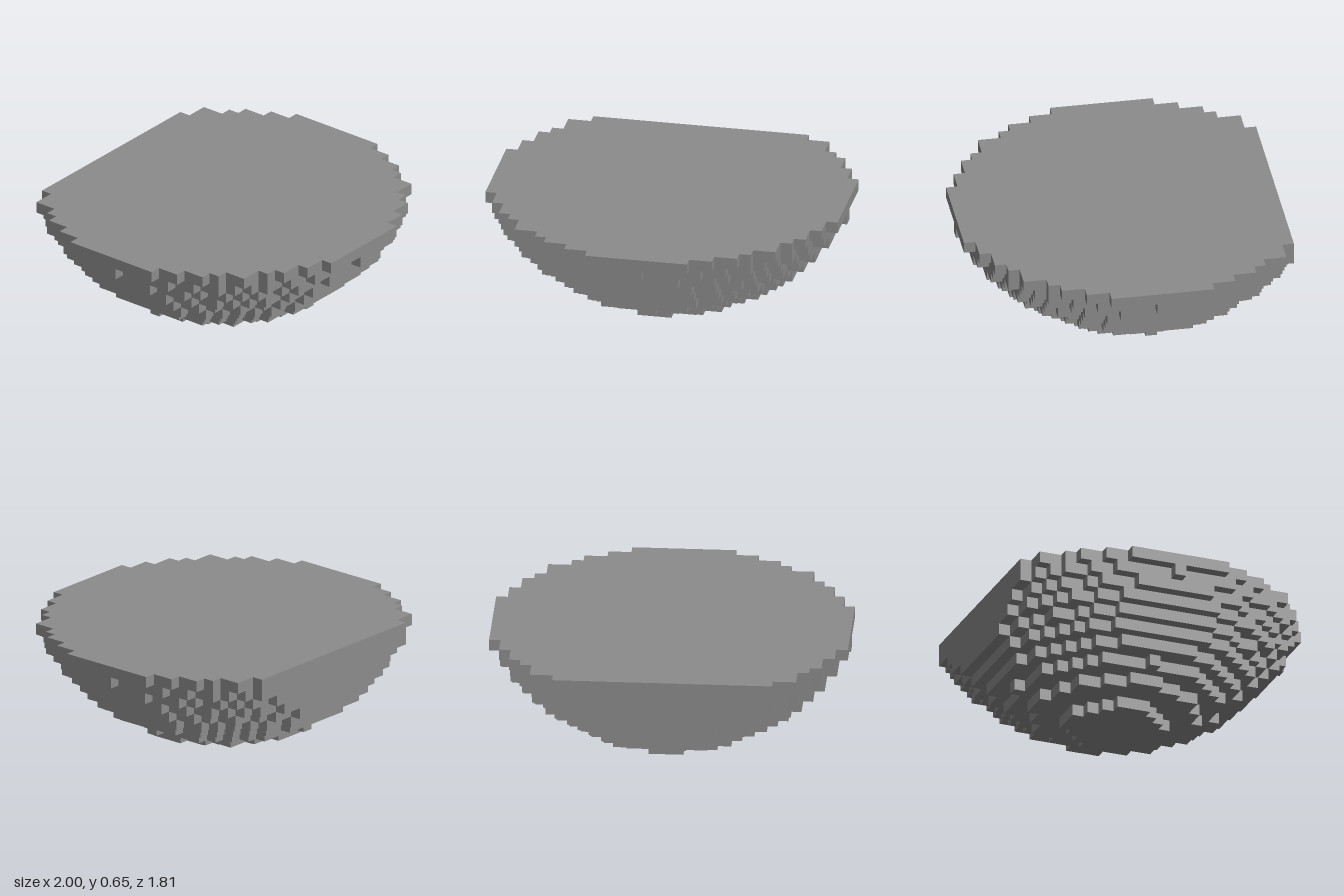
import * as THREE from 'three';

const CELL = 2 / 31;      // edge of one cube
const LAYERS = 10;
const RADIUS = 17.5;      // sphere radius in cubes
const BACK = -12, FRONT = 15; // first and last row; the back is cut flat

const X = new THREE.Vector3(1, 0, 0);
const Y = new THREE.Vector3(0, 1, 0);
const Z = new THREE.Vector3(0, 0, 1);

// Half width, in cubes, of one row of one layer of the stepped sphere
function halfWidth(layer, row) {
  if (layer < 0 || row < BACK || row > FRONT) return 0;
  const rest = RADIUS ** 2 - (17 - layer) ** 2 - row ** 2;
  return rest < 0 ? 0 : Math.floor(Math.sqrt(rest)) + 0.5;
}

// Collects rectangles that face along u x v
function makePanels() {
  const positions = [];
  const add = (x, y, z, u, v, uLength = 1, vLength = 1) => {
    const a = new THREE.Vector3(x, y, z);
    const b = a.clone().addScaledVector(u, uLength);
    const c = b.clone().addScaledVector(v, vLength);
    const d = a.clone().addScaledVector(v, vLength);
    for (const p of [a, b, c, a, c, d]) positions.push(p.x, p.y, p.z);
  };
  const build = () => {
    const geometry = new THREE.BufferGeometry();
    geometry.setAttribute('position', new THREE.Float32BufferAttribute(positions, 3));
    geometry.translate(0, 0, -(BACK + FRONT) / 2);
    geometry.scale(CELL, CELL, CELL);
    geometry.computeVertexNormals();
    return geometry;
  };
  return { add, build };
}

// Start and length of the uncovered spans on both sides of a covered middle
function exposedSpans(inner, outer) {
  if (outer <= inner) return [];
  if (inner === 0) return [[-outer, 2 * outer]];
  return [[-outer, outer - inner], [inner, outer - inner]];
}

export function createModel() {
  const grey = new THREE.MeshStandardMaterial({ color: 0x8c8c8c });
  grey.name = 'grey';

  const sides = makePanels(), underside = makePanels(), top = makePanels();
  for (let y = 0; y < LAYERS; y++) {
    for (let row = BACK; row <= FRONT; row++) {
      const w = halfWidth(y, row);
      if (w === 0) continue;
      const z = row - 0.5;

      // Row ends
      sides.add(w, y, z, Y, Z);
      sides.add(-w, y, z, Z, Y);

      // Front and back steps, including the flat back wall
      for (const [x, length] of exposedSpans(halfWidth(y, row + 1), w))
        sides.add(x, y, z + 1, X, Y, length, 1);
      for (const [x, length] of exposedSpans(halfWidth(y, row - 1), w))
        sides.add(x, y, z, Y, X, 1, length);

      // Ledges seen from below
      for (const [x, length] of exposedSpans(halfWidth(y - 1, row), w))
        underside.add(x, y, z, X, Z, length, 1);

      // Flat top
      if (y === LAYERS - 1) top.add(-w, LAYERS, z, Z, X, 1, 2 * w);
    }
  }

  const group = new THREE.Group();
  group.name = 'steppedBowl';
  for (const [name, panels] of Object.entries({ sides, underside, top })) {
    const mesh = new THREE.Mesh(panels.build(), grey);
    mesh.name = name;
    group.add(mesh);
  }
  return group;
}
